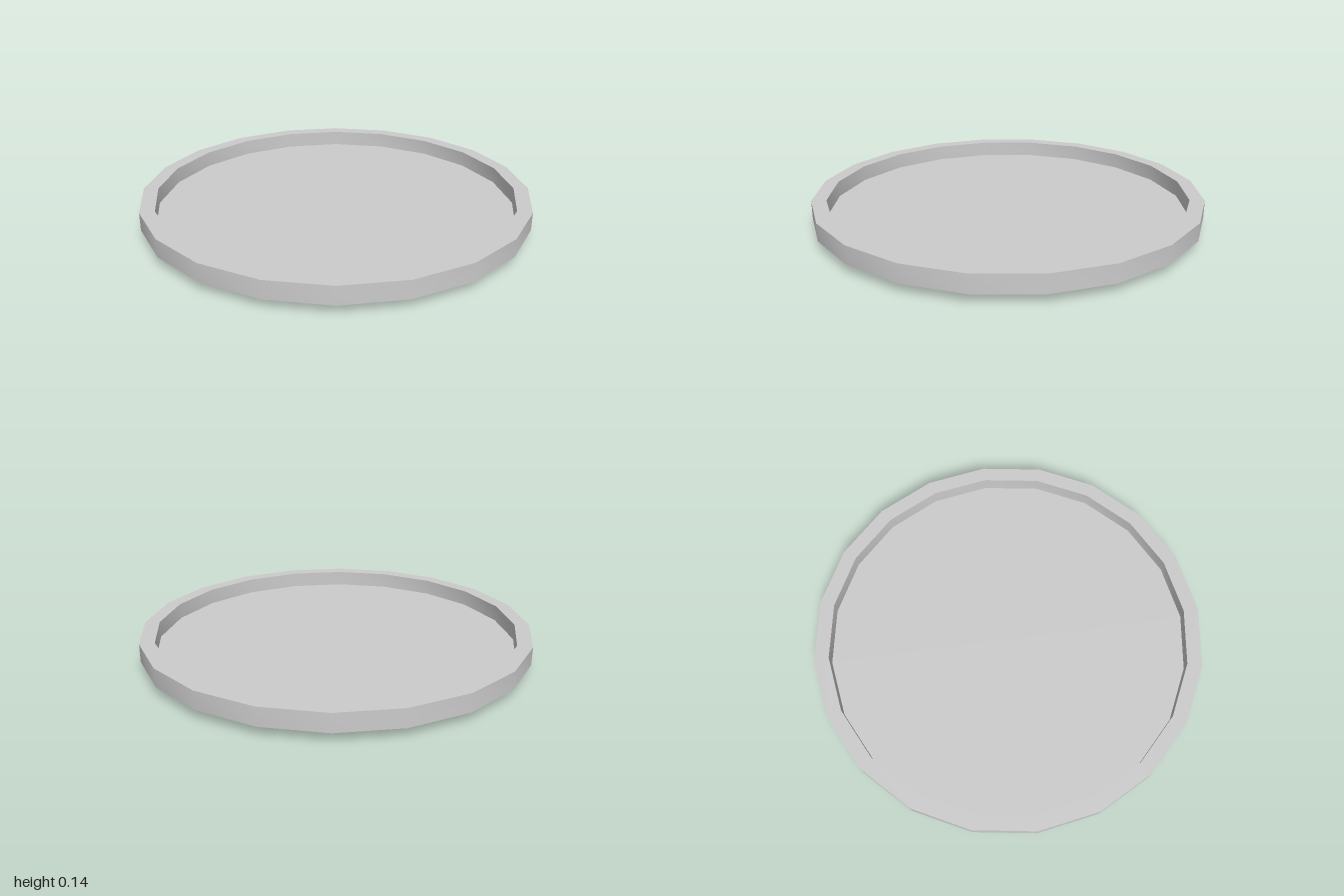
import * as THREE from 'three';
import { toCreasedNormals } from 'three/addons/utils/BufferGeometryUtils.js';

const SIDES = 20;
const BASE_Y = 0.048;   // underside of the tray, top of the foot
const FLOOR_Y = 0.058;  // inner floor
const RIM_Y = 0.14;

export function createModel() {
  const group = new THREE.Group();
  const material = new THREE.MeshStandardMaterial({ color: 0xcccccc });

  // Shallow round tray: underside, outer wall, flat rim, inner wall, floor
  const profile = [
    [0, BASE_Y], [1, BASE_Y], [1, RIM_Y],
    [0.925, RIM_Y], [0.925, FLOOR_Y], [0, FLOOR_Y],
  ].map(([x, y]) => new THREE.Vector2(x, y));
  const tray = new THREE.Mesh(
    toCreasedNormals(new THREE.LatheGeometry(profile, SIDES), 0.6), material);
  tray.name = 'tray';
  group.add(tray);

  // Low round foot
  const foot = new THREE.Mesh(
    new THREE.CylinderGeometry(0.415, 0.415, BASE_Y, SIDES), material);
  foot.position.y = BASE_Y / 2;
  foot.name = 'foot';
  group.add(foot);

  return group;
}
